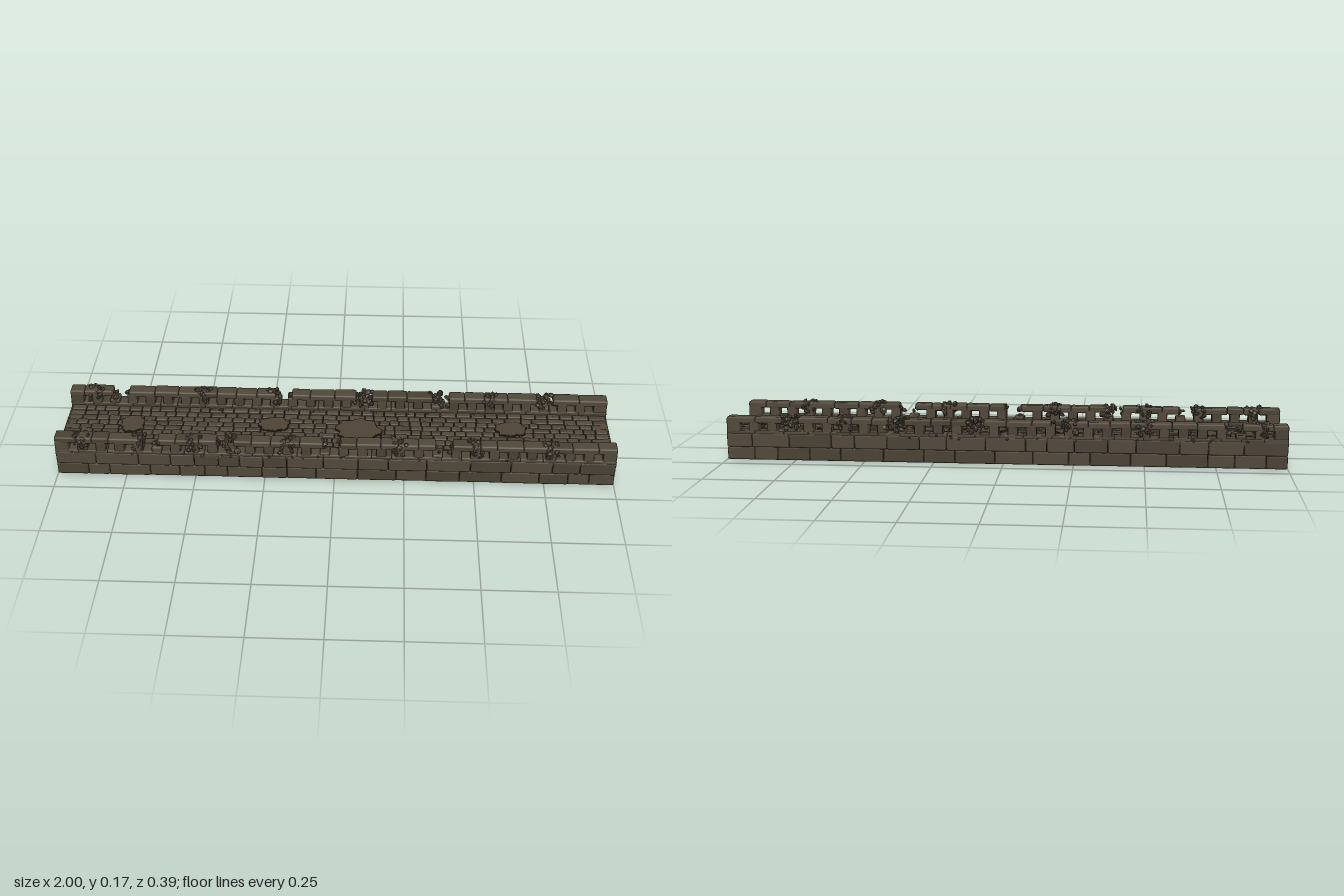
import * as THREE from 'three';
import { mergeGeometries } from 'three/addons/utils/BufferGeometryUtils.js';
import { RoundedBoxGeometry } from 'three/addons/geometries/RoundedBoxGeometry.js';

const ZC = -0.007;          // middle of the roadway
const STEP = 0.0668;        // spacing of the parapet openings

export function createModel() {
  const group = new THREE.Group();
  group.name = 'stoneBridge';
  const mat = (name, color) => {
    const m = new THREE.MeshStandardMaterial({ color });
    m.name = name;
    return m;
  };
  const stone = mat('stone', 0x51473a);
  const darkStone = mat('dark stone', 0x494033);
  const joint = mat('joint shadow', 0x2e271f);
  const earth = mat('packed earth', 0x4d4436);

  // Small seeded generator
  let seed = 11;
  const rnd = (a = 0, b = 1) => {
    seed = (seed * 16807) % 2147483647;
    return a + (b - a) * (seed / 2147483647);
  };

  const add = (name, geometry, material) => {
    const m = new THREE.Mesh(geometry, material);
    m.name = name;
    group.add(m);
    return m;
  };

  // A set of stones, sorted into two shades and merged
  const makeSet = () => ({ light: [], dark: [] });
  const put = (set, g) => (rnd() < 0.65 ? set.light : set.dark).push(g);
  const finish = (name, set) => {
    if (set.light.length) add(name, mergeGeometries(set.light), stone);
    if (set.dark.length) add(name + 'Dark', mergeGeometries(set.dark), darkStone);
  };
  const block = (set, w, h, d, x, y, z, r = 0.004, tilt = 0) => {
    const g = new RoundedBoxGeometry(w, h, d, 1, r);
    g.rotateX(rnd(-tilt, tilt));
    g.rotateZ(rnd(-tilt, tilt));
    g.translate(x, y, z);
    put(set, g);
  };
  const chunk = (set, size, x, y, z) => {
    const g = rnd() < 0.5 ? new THREE.IcosahedronGeometry(1, 0) : new THREE.DodecahedronGeometry(1, 0);
    g.scale(size * rnd(0.8, 1.5), size * rnd(0.6, 1), size * rnd(0.8, 1.3));
    g.rotateX(rnd(0, 6));
    g.rotateY(rnd(0, 6));
    g.rotateZ(rnd(0, 6));
    g.translate(x, y, z);
    put(set, g);
  };
  // Split a run into pieces of uneven length
  const run = (from, to, min, max, each) => {
    let a = from;
    while (a < to - 0.0001) {
      let b = a + rnd(min, max);
      if (b > to - min) b = to;
      each((a + b) / 2, b - a);
      a = b;
    }
  };

  // Core and underside
  add('core', new THREE.BoxGeometry(1.98, 0.08, 0.336).translate(0, 0.044, ZC), joint);
  add('underside', new THREE.BoxGeometry(1.992, 0.01, 0.346).translate(0, 0.005, ZC), stone);

  // Outer walls, two courses leaning slightly outward
  const walls = makeSet();
  for (const s of [-1, 1]) {
    [[0.0235, 0.047, 0.177], [0.0715, 0.05, 0.181]].forEach(([y, h, half]) =>
      run(-1, 1, 0.075, 0.16, (x, w) =>
        block(walls, w - 0.001, h, 0.03, x, y, ZC + s * (half - 0.015 + rnd(-0.0015, 0.0015)), 0.005)));
  }
  finish('outerWallStones', walls);

  // End faces
  const ends = makeSet();
  for (const s of [-1, 1]) {
    for (const y of [0.0225, 0.0665]) {
      run(-0.165, 0.165, 0.055, 0.085, (z, w) =>
        block(ends, 0.03, 0.045, w, s * 0.985, y, ZC + z, 0.003));
    }
  }
  finish('endStones', ends);

  // Roadway paving
  const paving = makeSet();
  const rows = 9, rowDepth = 0.262 / rows;
  for (let i = 0; i < rows; i++) {
    const z = ZC - 0.131 + (i + 0.5) * rowDepth;
    const edge = i === 0 || i === rows - 1 ? 0.003 : 0;
    run(-0.995, 0.995, 0.032, 0.062, (x, w) =>
      block(paving, w - 0.0015, 0.014, rowDepth - 0.0015, x, 0.084 + edge + rnd(-0.0015, 0.0015), z, 0.004, 0.03));
  }
  finish('pavingStones', paving);

  // Worn patches in the paving
  const patches = [[-0.75, -0.02, 0.045, 0.055], [-0.23, -0.035, 0.06, 0.045],
    [0.08, -0.012, 0.085, 0.07], [0.64, -0.035, 0.06, 0.046]];
  const patchShape = (rx, rz, grow) => {
    const pts = [];
    for (let i = 0; i < 22; i++) {
      const a = (i / 22) * Math.PI * 2;
      const k = 0.92 + 0.1 * Math.sin(i * 2.4 + rx * 90) + 0.05 * Math.sin(i * 5.1);
      pts.push(new THREE.Vector2(Math.cos(a) * (rx * k + grow), Math.sin(a) * (rz * k + grow)));
    }
    return new THREE.Shape(pts);
  };
  for (const [x, z, rx, rz] of patches) {
    for (const [name, grow, top, m] of [['patchRim', 0.004, 0.0945, joint], ['wornPatch', 0, 0.0955, earth]]) {
      const g = new THREE.ExtrudeGeometry(patchShape(rx, rz, grow), { depth: 0.006, bevelEnabled: false });
      add(name, g.rotateX(-Math.PI / 2).translate(x, top - 0.006, z), m);
    }
  }

  // Parapets: sill, piers between openings, and a coping with broken gaps
  const sides = [
    { s: 1, name: 'front', gaps: [0.39, -0.01, -0.39, -0.66],
      clumps: [-0.92, -0.67, -0.52, -0.35, -0.2, 0.23, 0.53, 0.79] },
    { s: -1, name: 'back', gaps: [-0.81, -0.2, 0.1, 0.385, 0.77],
      clumps: [-0.92, -0.48, -0.23, 0.07, 0.36, 0.58, 0.8] },
  ];
  for (const { s, name, gaps, clumps } of sides) {
    const parapet = makeSet();
    const zMid = ZC + s * 0.153;
    const broken = (x, r) => gaps.some(g => Math.abs(x - g) < r);

    run(-1, 1, 0.06, 0.11, (x, w) =>
      block(parapet, w + 0.001, 0.028, 0.051, x, 0.0925, zMid + rnd(-0.001, 0.001), 0.004));

    for (let i = -15; i < 15; i++) {
      const x = (i + 0.5) * STEP;
      const end = i === -15 || i === 14;
      const w = end ? 1 - 14 * STEP - 0.016 : 0.036;
      const px = end ? Math.sign(x) * (1 - w / 2) : x;
      const h = broken(x, 0.026) ? rnd(0.014, 0.026) : 0.042;
      block(parapet, w, h, 0.049, px, 0.1 + h / 2, zMid + rnd(-0.001, 0.001), 0.005);
    }

    // Coping stones between the gaps
    const cuts = [-1, ...[...gaps].sort((a, b) => a - b).flatMap(g => [g - 0.03, g + 0.03]), 1];
    for (let c = 0; c < cuts.length; c += 2) {
      run(cuts[c], cuts[c + 1], 0.05, 0.1, (x, w) =>
        block(parapet, w + 0.0005, 0.024, 0.05, x, 0.145 + rnd(-0.0015, 0.001), zMid, 0.006, 0.012));
    }
    finish(name + 'Parapet', parapet);

    // Rubble clinging to the parapet, centred on a pier
    const rubble = makeSet();
    for (const cx of clumps) {
      const x = (Math.floor(cx / STEP) + 0.5) * STEP;
      for (let i = 0; i < 17; i++) {
        const a = -0.6 + (i / 16) * (Math.PI + 0.9);
        chunk(rubble, rnd(0.007, 0.0115),
          x + rnd(-0.026, 0.026),
          Math.min(0.157, 0.132 + Math.sin(a) * 0.027),
          zMid + s * Math.cos(a) * 0.029);
      }
    }
    // Crumbled pieces beside each gap
    for (const g of gaps) {
      for (let i = 0; i < 7; i++) {
        const e = i % 2 ? 1 : -1;
        chunk(rubble, rnd(0.007, 0.011), g + e * rnd(0.018, 0.036), rnd(0.118, 0.152), zMid + rnd(-0.02, 0.02));
      }
    }
    // Fallen pieces along the roadway edge
    for (let i = 0; i < 22; i++) {
      chunk(rubble, rnd(0.004, 0.008), rnd(-0.95, 0.95), 0.091, ZC + s * rnd(0.112, 0.126));
    }
    // Chips standing out of the wall face
    for (let i = 0; i < 14; i++) {
      chunk(rubble, rnd(0.004, 0.007), rnd(-0.95, 0.95), rnd(0.09, 0.102), ZC + s * 0.179);
    }
    finish(name + 'Rubble', rubble);
  }

  return group;
}
